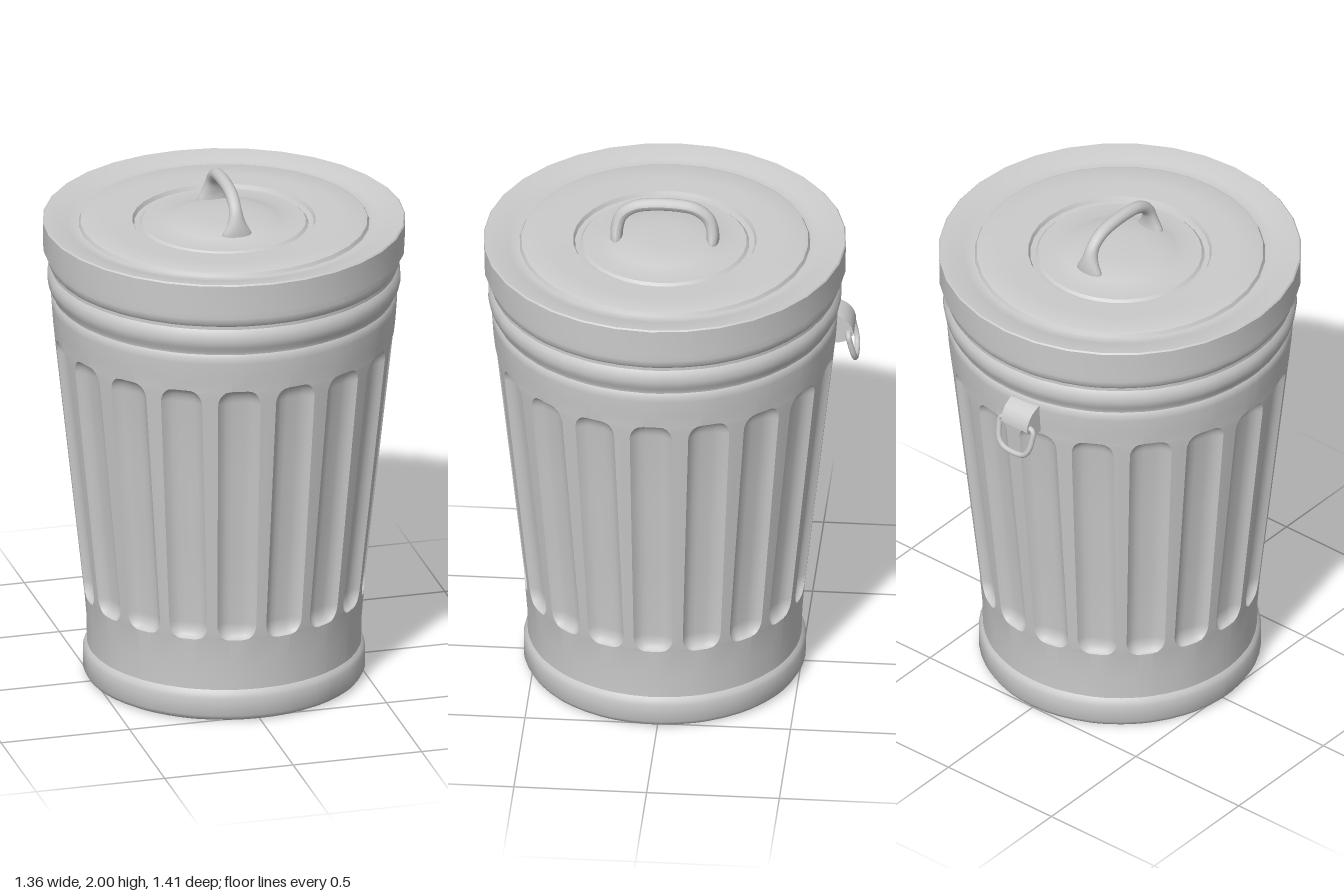
import * as THREE from 'three';
import { toCreasedNormals } from 'three/addons/utils/BufferGeometryUtils.js';

const FLUTES = 18, FLUTE_BOTTOM = 0.33, FLUTE_TOP = 1.385, FLUTE_DEPTH = 0.033;
const V3 = (x, y, z) => new THREE.Vector3(x, y, z);

const material = new THREE.MeshStandardMaterial({ color: 0xcccccc, side: THREE.DoubleSide });

function part(name, geometry, crease = 0.6) {
  const mesh = new THREE.Mesh(crease ? toCreasedNormals(geometry, crease) : geometry, material);
  mesh.name = name;
  return mesh;
}

// Tapered wall with rolled rings and scooped, round-ended vertical flutes
function bodyGeometry() {
  const endSteps = [0, 0.06, 0.2, 0.45, 0.75, 1];
  const endLength = 0.06;
  const wall = y => THREE.MathUtils.mapLinear(y, FLUTE_BOTTOM, FLUTE_TOP, 0.526, 0.639);
  const fluteRows = [
    ...endSteps.map(t => FLUTE_BOTTOM + t * endLength),
    0.7, 1.0,
    ...endSteps.map(t => FLUTE_TOP - t * endLength).reverse(),
  ].map(y => [wall(y), y]);
  const rows = [
    [0.505, 0], [0.52, 0.008], [0.53, 0.025], [0.53, 0.095], [0.525, 0.112], [0.515, 0.125], [0.517, 0.22],
    ...fluteRows,
    [0.644, 1.43], [0.649, 1.5], [0.65, 1.525], [0.643, 1.537], [0.645, 1.55], [0.658, 1.568],
    [0.664, 1.595], [0.662, 1.625], [0.65, 1.642], [0.65, 1.655], [0.66, 1.668], [0.664, 1.69], [0.66, 1.75],
  ];
  const across = [-1, -0.85, -0.6, -0.3, 0, 0.3, 0.6, 0.85, 1];
  const columns = FLUTES * (across.length + 1);
  const pitch = Math.PI * 2 / FLUTES;
  const positions = [], index = [];

  for (const [r, y] of rows) {
    const toEnd = Math.min(y - FLUTE_BOTTOM, FLUTE_TOP - y) / endLength;
    const t = THREE.MathUtils.clamp(toEnd, 0, 1);
    const round = Math.sqrt(1 - (1 - t) ** 2);
    const half = THREE.MathUtils.degToRad(THREE.MathUtils.mapLinear(y, 0.3, 1.4, 8, 7.2)) * (0.4 + 0.6 * round);
    for (let f = 0; f < FLUTES; f++) {
      const centre = (f + 0.5) * pitch;
      const put = (angle, radius) => positions.push(Math.sin(angle) * radius, y, Math.cos(angle) * radius);
      for (const u of across) put(centre + u * half, r - FLUTE_DEPTH * round * (1 - u ** 4));
      put(centre + pitch / 2, r);
    }
  }
  for (let i = 0; i < rows.length - 1; i++) {
    for (let j = 0; j < columns; j++) {
      const a = i * columns + j, b = i * columns + (j + 1) % columns;
      index.push(a, b, b + columns, a, b + columns, a + columns);
    }
  }
  const geometry = new THREE.BufferGeometry();
  geometry.setAttribute('position', new THREE.Float32BufferAttribute(positions, 3));
  geometry.setIndex(index);
  return geometry;
}

// Lid: short skirt, shallow dished rim, raised disc, groove and central dome
function lidGeometry() {
  const profile = [
    [0.65, 1.717], [0.68, 1.717], [0.682, 1.83], [0.677, 1.835], [0.64, 1.831], [0.59, 1.817], [0.56, 1.81],
    [0.547, 1.812], [0.54, 1.826], [0.528, 1.83], [0.44, 1.829], [0.345, 1.827], [0.338, 1.812],
    [0.318, 1.81], [0.308, 1.82], [0.24, 1.822], [0.21, 1.83], [0.17, 1.841], [0.1, 1.846], [0, 1.847],
  ].map(([r, y]) => new THREE.Vector2(r, y));
  return new THREE.LatheGeometry(profile, 32);
}

// Arched grip whose feet flare sideways where they meet the lid
function handleGeometry() {
  const side = [[0.181, 1.825], [0.18, 1.87], [0.163, 1.925], [0.115, 1.963], [0.05, 1.976]];
  const points = [
    ...side.map(([z, y]) => V3(0, y, z)),
    ...side.map(([z, y]) => V3(0, y, -z)).reverse(),
  ];
  const geometry = new THREE.TubeGeometry(new THREE.CatmullRomCurve3(points), 48, 0.024, 12);
  const p = geometry.attributes.position;
  for (let i = 0; i < p.count; i++) {
    const low = THREE.MathUtils.clamp((1.94 - p.getY(i)) / 0.1, 0, 1);
    p.setX(i, p.getX(i) * (1 + 1.4 * low * low));
  }
  geometry.computeVertexNormals();
  return geometry;
}

// Curved strap on the back that holds the pull ring
function strapGeometry() {
  const width = 0.125;
  const shape = new THREE.Shape();
  shape.moveTo(0.615, 1.52);
  shape.bezierCurveTo(0.66, 1.515, 0.695, 1.48, 0.695, 1.435);
  shape.lineTo(0.683, 1.43);
  shape.bezierCurveTo(0.675, 1.41, 0.655, 1.4, 0.615, 1.4);
  shape.closePath();
  const geometry = new THREE.ExtrudeGeometry(shape, { depth: width, bevelEnabled: false, curveSegments: 8 });
  return geometry.translate(0, 0, -width / 2).rotateY(Math.PI / 2);
}

function ringGeometry() {
  const half = [[0.05, 1.447, -0.676], [0.079, 1.438, -0.678], [0.08, 1.41, -0.684], [0.07, 1.355, -0.697], [0.045, 1.329, -0.701]];
  const points = [
    ...half.map(([x, y, z]) => V3(x, y, z)),
    ...half.map(([x, y, z]) => V3(-x, y, z)).reverse(),
  ];
  return new THREE.TubeGeometry(new THREE.CatmullRomCurve3(points, true), 48, 0.011, 8, true);
}

export function createModel() {
  const model = new THREE.Group();
  model.name = 'trashCan';

  const can = new THREE.Group();
  can.name = 'can';
  can.position.z = 0.015;
  can.add(part('body', bodyGeometry()));
  can.add(part('base', new THREE.CircleGeometry(0.505, 64).rotateX(Math.PI / 2), 0));
  can.add(part('lid', lidGeometry(), 0.5));
  can.add(part('lidHandle', handleGeometry(), 0));
  model.add(can);

  const latch = new THREE.Group();
  latch.name = 'backPull';
  latch.position.x = -0.068;
  const strap = part('strap', strapGeometry());
  strap.rotation.y = Math.PI;
  strap.scale.x = 1;
  latch.add(strap, part('pullRing', ringGeometry(), 0));
  // The strap profile points outward, so it is turned to face the back
  strap.rotation.y = strapFacing(strap.geometry);
  model.add(latch);
  return model;
}

// Turn needed for the strap to sit on the -z side
function strapFacing(geometry) {
  geometry.computeBoundingBox();
  return geometry.boundingBox.max.z > 0 ? Math.PI : 0;
}
